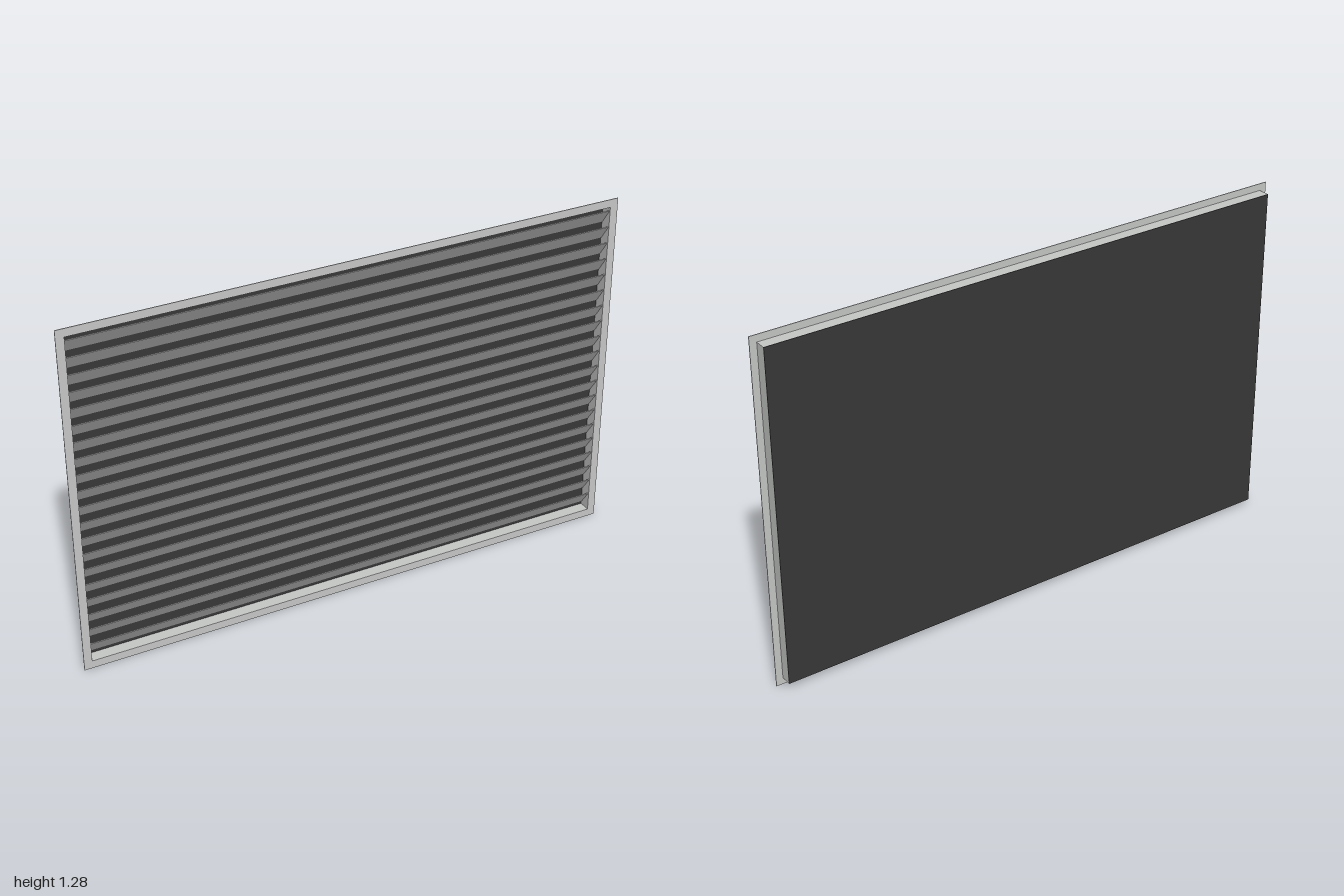
import * as THREE from 'three';

const W = 2, H = 1.28;            // outer flange
const BW = 1.95, BH = 1.23;       // recessed box
const FRONT = 0.0225, BACK = -0.0225;
const WALL = 0.004, SLATS = 20, PITCH = 0.06;

const rect = (Cls, w, h) => {
  const s = new Cls();
  s.moveTo(-w / 2, -h / 2);
  s.lineTo(w / 2, -h / 2);
  s.lineTo(w / 2, h / 2);
  s.lineTo(-w / 2, h / 2);
  s.closePath();
  return s;
};

// Rectangular ring extruded between two z positions
function ring(w, h, innerW, innerH, z0, z1) {
  const shape = rect(THREE.Shape, w, h);
  shape.holes.push(rect(THREE.Path, innerW, innerH));
  const geo = new THREE.ExtrudeGeometry(shape, { depth: z1 - z0, bevelEnabled: false });
  return geo.translate(0, H / 2, z0);
}

export function createModel() {
  const group = new THREE.Group();
  group.name = 'louverGrille';

  const metal = new THREE.MeshStandardMaterial({ color: 0xc6c8c6 });
  metal.name = 'light grey metal';
  const dark = new THREE.MeshStandardMaterial({ color: 0x383838 });
  dark.name = 'dark backing';

  const add = (name, geo, mat, parent = group) => {
    const mesh = new THREE.Mesh(geo, mat);
    mesh.name = name;
    parent.add(mesh);
    return mesh;
  };

  // Thin front flange and the box walls behind it
  const innerW = BW - 2 * WALL, innerH = BH - 2 * WALL;
  add('flange', ring(W, H, innerW, innerH, FRONT - 0.003, FRONT), metal);
  add('boxWalls', ring(BW, BH, innerW, innerH, BACK + 0.002, FRONT - 0.003), metal);

  // Dark sheet closing the back
  add('backPanel', new THREE.BoxGeometry(BW, BH, 0.002).translate(0, H / 2, BACK + 0.001), dark);

  // Slats lean forward at the top, so their faces look down and out
  const slats = new THREE.Group();
  slats.name = 'slats';
  group.add(slats);
  const slatGeo = new THREE.BoxGeometry(innerW, 0.066, 0.003).rotateX(0.59);
  for (let i = 0; i < SLATS; i++) {
    const slat = add('slat' + (i + 1), slatGeo, metal, slats);
    slat.position.y = H / 2 + (i - (SLATS - 1) / 2) * PITCH;
  }
  return group;
}
